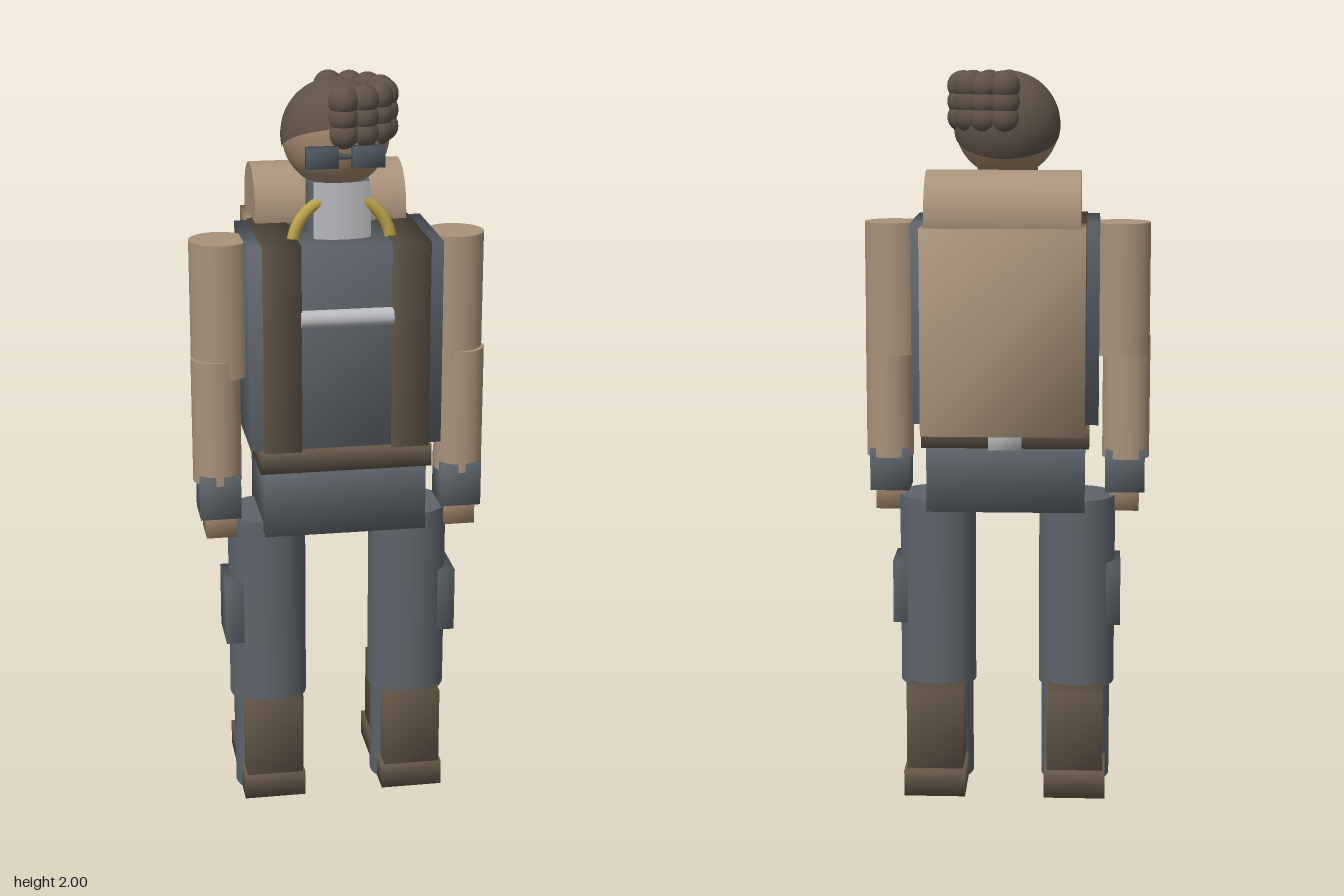
import * as THREE from 'three';
import { mergeVertices } from 'three/addons/utils/BufferGeometryUtils.js';

const mat = (name, color) => Object.assign(new THREE.MeshStandardMaterial({ color }), { name });

// Block given by its extents, with normals blended across the edges
function block(x0, x1, y0, y1, z0, z1) {
  let g = new THREE.BoxGeometry(x1 - x0, y1 - y0, z1 - z0);
  g.deleteAttribute('normal');
  g.deleteAttribute('uv');
  g = mergeVertices(g);
  g.computeVertexNormals();
  return g.translate((x0 + x1) / 2, (y0 + y1) / 2, (z0 + z1) / 2);
}

// Upright cylinder between two heights
const post = (x, z, r, y0, y1) =>
  new THREE.CylinderGeometry(r, r, y1 - y0, 32).translate(x, (y0 + y1) / 2, z);

// Cylinder lying along x
const bar = (r, length, y, z) =>
  new THREE.CylinderGeometry(r, r, length, 32).rotateZ(Math.PI / 2).translate(0, y, z);

export function createModel() {
  const slate = mat('slate cloth', 0x5d646a);
  const tan = mat('tan canvas', 0xa8927a);
  const brown = mat('brown leather', 0x645748);
  const hairBrown = mat('hair brown', 0x5f5246);
  const skin = mat('skin', 0x9c8268);
  const light = mat('light grey', 0xb9babd);
  const yellow = mat('yellow', 0xbba449);
  const lens = mat('dark lens', 0x4d555e);
  light.side = THREE.DoubleSide;

  const model = new THREE.Group();
  model.name = 'traveller';
  const add = (name, geometry, material, parent = model) => {
    const mesh = new THREE.Mesh(geometry, material);
    mesh.name = name;
    parent.add(mesh);
    return mesh;
  };

  // Head and tilted hair cap
  const headY = 1.855, headZ = 0.053;
  add('head', new THREE.SphereGeometry(0.142, 40, 28).translate(0, headY, headZ), skin);
  const cap = add('hairCap', new THREE.SphereGeometry(0.145, 40, 20, 0, Math.PI * 2, 0, Math.PI * 0.56), hairBrown);
  cap.position.set(0, headY, headZ);
  cap.rotation.x = -0.45;

  // Curls: three rows wrapped around the left half of the head
  const curls = new THREE.Group();
  curls.name = 'curls';
  model.add(curls);
  for (let row = 0; row < 3; row++) {
    for (let i = 0; i < 8; i++) {
      const a = (i / 7) * Math.PI;
      add('curl', new THREE.SphereGeometry(0.04, 18, 12).translate(
        0.124 * Math.sin(a), 1.876 + row * 0.042, headZ + 0.124 * Math.cos(a)), hairBrown, curls);
    }
  }

  // Glasses
  const glasses = new THREE.Group();
  glasses.name = 'glasses';
  model.add(glasses);
  for (const s of [-1, 1]) {
    add('lens', block(s * 0.06 - 0.042, s * 0.06 + 0.042, 1.795, 1.85, 0.195, 0.217), lens, glasses);
  }
  add('bridge', block(-0.025, 0.025, 1.818, 1.83, 0.197, 0.212), lens, glasses);

  // Neck, curved collar front and neck cord
  add('neck', post(0, 0.08, 0.083, 1.58, 1.74), slate);
  add('collarFront', new THREE.CylinderGeometry(0.17, 0.17, 0.16, 16, 1, true, -0.46, 0.92)
    .translate(0, 1.67, 0.007), light);
  add('neckCord', new THREE.TorusGeometry(0.13, 0.016, 12, 32, Math.PI).translate(0, 1.58, 0.152), yellow);

  // Torso, belt and pelvis
  add('torso', block(-0.255, 0.255, 1.05, 1.6, -0.08, 0.235), slate);
  add('chestStrap', bar(0.023, 0.244, 1.407, 0.237), light);
  add('belt', block(-0.23, 0.23, 0.985, 1.045, -0.09, 0.24), brown);
  add('beltBuckle', block(-0.045, 0.045, 0.982, 1.05, -0.104, -0.06), light);
  add('pelvis', block(-0.218, 0.218, 0.8, 1.0, -0.065, 0.225), slate);

  // Backpack with a bedroll on top
  add('backpack', block(-0.218, 0.218, 1.05, 1.6, -0.262, -0.085), tan);
  add('bedroll', bar(0.121, 0.41, 1.624, -0.141), tan);

  // Paired parts
  for (const s of [-1, 1]) {
    const side = new THREE.Group();
    side.name = s > 0 ? 'leftSide' : 'rightSide';
    model.add(side);
    const cylinder = (name, x, z, r, y0, y1, m) => add(name, post(s * x, z, r, y0, y1), m, side);
    const box = (name, x0, x1, y0, y1, z0, z1, m) =>
      add(name, block(Math.min(s * x0, s * x1), Math.max(s * x0, s * x1), y0, y1, z0, z1), m, side);

    box('shoulderStrap', 0.12, 0.22, 1.045, 1.603, -0.092, 0.247, brown);

    // Arm
    cylinder('upperArm', 0.315, 0.08, 0.08, 1.225, 1.59, tan);
    cylinder('forearm', 0.332, 0.1, 0.066, 0.93, 1.275, tan);
    box('wristCuff', 0.275, 0.385, 0.835, 0.955, 0.045, 0.165, slate);
    box('hand', 0.287, 0.37, 0.78, 0.85, 0.057, 0.16, skin);

    // Leg
    cylinder('thigh', 0.197, 0.078, 0.107, 0.28, 0.825, slate);
    cylinder('shin', 0.195, 0.08, 0.097, 0, 0.3, slate);
    box('kneePad', 0.25, 0.32, 0.46, 0.64, 0.01, 0.155, slate);

    // Boot
    box('bootShaft', 0.117, 0.273, 0.05, 0.293, -0.113, 0.2, brown);
    box('bootSole', 0.11, 0.28, 0, 0.072, -0.14, 0.202, brown);
  }
  return model;
}
